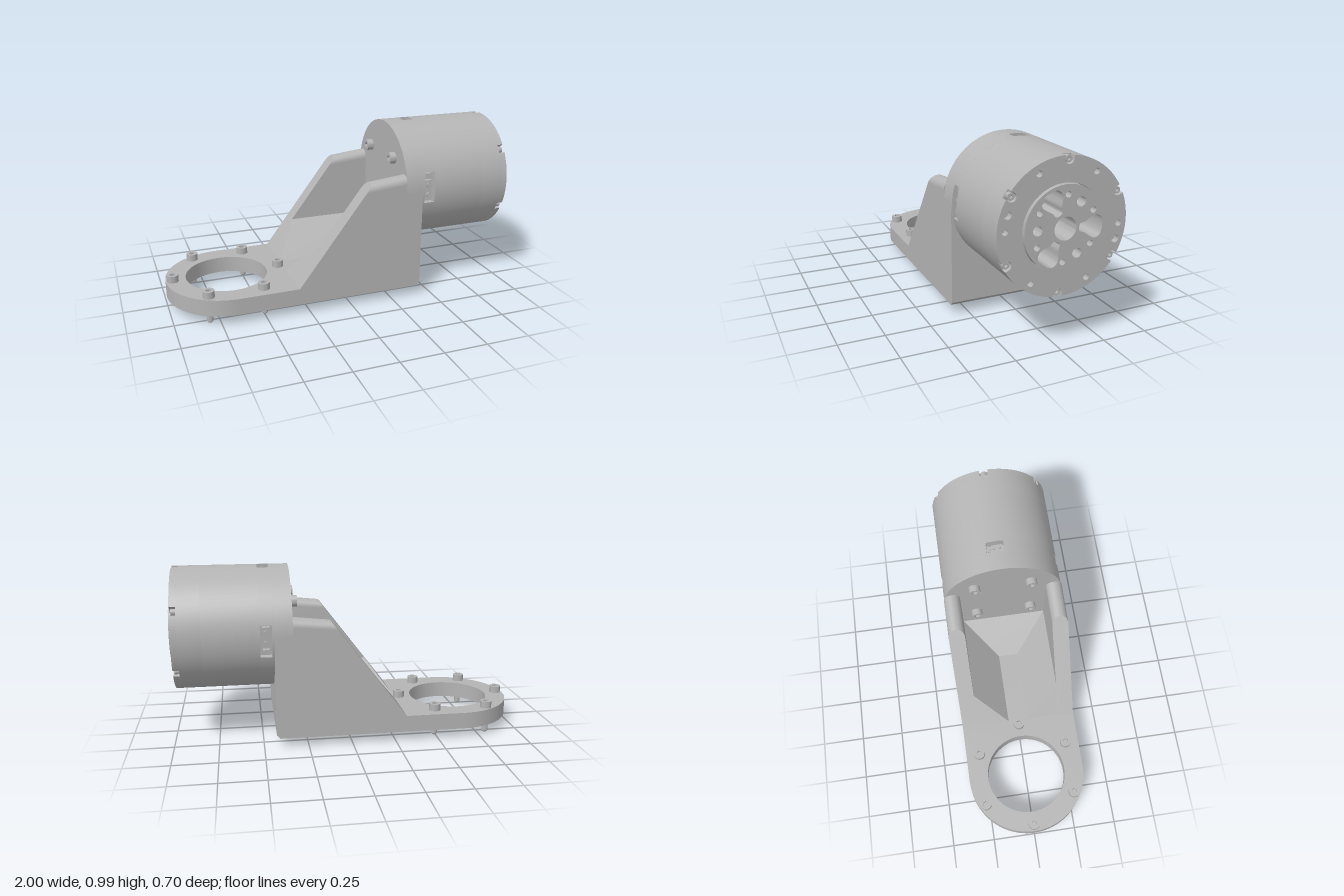
import * as THREE from 'three';
import { toCreasedNormals } from 'three/addons/utils/BufferGeometryUtils.js';

const AXIS_Y = 0.635; // height of the motor axis
const SLOPE = 1.314;  // rise of the cheek incline
const rad = THREE.MathUtils.degToRad;

export function createModel() {
  const model = new THREE.Group();
  const metal = new THREE.MeshStandardMaterial({ color: 0xb4b4b4 });
  metal.name = 'grey metal';

  const add = (parent, name, geometry, x = 0, y = 0, z = 0) => {
    const mesh = new THREE.Mesh(toCreasedNormals(geometry, 0.5), metal);
    mesh.name = name;
    mesh.position.set(x, y, z);
    parent.add(mesh);
    return mesh;
  };
  const group = (parent, name, y = 0) => {
    const g = new THREE.Group();
    g.name = name;
    g.position.y = y;
    parent.add(g);
    return g;
  };
  const polygon = (pts) => new THREE.Shape(pts.map(([x, y]) => new THREE.Vector2(x, y)));
  const circle = (r, x = 0, y = 0) => new THREE.Shape().absarc(x, y, r, 0, Math.PI * 2, false);
  const extrude = (shape, depth, curveSegments = 40) =>
    new THREE.ExtrudeGeometry(shape, { depth, bevelEnabled: false, curveSegments });
  // Shape (u, v) is swept along x, with u = -z and v = y
  const alongX = (shape, x0, x1, segs) =>
    extrude(shape, x1 - x0, segs).rotateY(Math.PI / 2).translate(x0, 0, 0);
  const warp = (geometry, rule) => {
    const p = geometry.attributes.position;
    for (let i = 0; i < p.count; i++) p.setXYZ(i, ...rule(p.getX(i), p.getY(i), p.getZ(i)));
    return geometry;
  };
  const polar = (r, deg) => [r * Math.cos(rad(deg)), r * Math.sin(rad(deg))];

  // Disc outline with slots cut into its rim
  const notchedDisc = (R, notches) => {
    const s = new THREE.Shape();
    notches.forEach(({ deg, w, r, round }, i) => {
      const a = rad(deg), h = Math.asin(w / R), c = Math.cos(a), n = Math.sin(a);
      if (i === 0) s.moveTo(R * Math.cos(a - h), R * Math.sin(a - h));
      s.lineTo(r * c + w * n, r * n - w * c);
      if (round) s.absarc(r * c, r * n, w, a - Math.PI / 2, a + Math.PI / 2, true);
      else s.lineTo(r * c - w * n, r * n + w * c);
      const next = notches[(i + 1) % notches.length];
      const end = rad(next.deg) + (i + 1 === notches.length ? Math.PI * 2 : 0) - Math.asin(next.w / R);
      s.absarc(0, 0, R, a + h, end, false);
    });
    return s;
  };

  // Socket head screw cap pointing along +z
  const headShape = (r) => {
    const s = circle(r);
    s.holes.push(polygon([0, 1, 2, 3, 4, 5].map((k) => polar(r * 0.52, k * 60))));
    return s;
  };
  const addHead = (parent, name, r, h, orient, x, y, z) => {
    add(parent, name, orient(extrude(headShape(r), h, 12)), x, y, z);
    add(parent, name + 'Socket', orient(new THREE.CircleGeometry(r * 0.6, 12).translate(0, 0, h * 0.35)), x, y, z);
  };
  const up = (g) => g.rotateX(-Math.PI / 2);
  const forward = (g) => g.rotateY(Math.PI / 2);
  const backward = (g) => g.rotateY(-Math.PI / 2);

  // ---- Bracket ----
  const bracket = group(model, 'bracket');

  // Mounting ring with its straight tail
  const ring = new THREE.Shape();
  ring.moveTo(-0.31, -0.35);
  ring.lineTo(-0.31, 0.35);
  ring.lineTo(-0.65, 0.35);
  ring.absarc(-0.65, 0, 0.35, Math.PI / 2, Math.PI * 1.5, false);
  ring.holes.push(circle(0.235, -0.65, 0));
  add(bracket, 'mountingRing', up(extrude(ring, 0.095)), 0, 0.055, 0);

  // Floor and back wall, with a sloped gusset between them
  const floor = polygon([[-0.31, 0.055], [0.41, 0.055], [0.43, 0.075], [0.43, AXIS_Y],
    [0.33, AXIS_Y], [0.33, 0.335], [0.13, 0.15], [-0.31, 0.15]]);
  add(bracket, 'floorAndBackWall', extrude(floor, 0.51), 0, 0, -0.255);

  const cheek = polygon([[-0.31, 0.055], [0.41, 0.055], [0.43, 0.075], [0.43, AXIS_Y],
    [0.33, AXIS_Y], [0.33, 0.69], [0.085, 0.668], [-0.31, 0.15]]);
  for (const side of [-1, 1]) {
    add(bracket, 'cheek', extrude(cheek, 0.095), 0, 0, side > 0 ? 0.255 : -0.35);
    // Rounded top edge, cut off along the incline
    const cap = new THREE.Shape().absarc(-side * 0.3025, 0.668, 0.0475, 0, Math.PI, false);
    add(bracket, 'cheekTop', warp(alongX(cap, 0.085, 0.33, 14), (x, y, z) => {
      const t = (x - 0.085) / 0.245;
      return [x + (1 - t) * (y - 0.668) / SLOPE, y + t * 0.022, z];
    }));
    // Sloped fillet between cheek and floor
    const wedge = polygon([[-side * 0.06, 0.15], [-side * 0.255, 0.15], [-side * 0.255, 0.335]]);
    add(bracket, 'cheekFillet', warp(alongX(wedge, -0.31, 0.33), (x, y, z) =>
      [x < 0 ? x + (y - 0.15) / SLOPE : x, y, z]));
  }
  add(bracket, 'flangeDisc', alongX(circle(0.35), 0.33, 0.43), 0, AXIS_Y, 0);

  // ---- Bolts ----
  const bolts = group(model, 'bolts');
  for (let k = 0; k < 6; k++) {
    const [dx, z] = polar(0.31, k * 60);
    addHead(bolts, 'ringBolt', 0.033, 0.04, up, dx - 0.65, 0.15, z);
    const shank = [[0, 0], [0.013, 0], [0.018, 0.006], [0.018, 0.06]].map((p) => new THREE.Vector2(...p));
    add(bolts, 'ringBoltShank', new THREE.LatheGeometry(shank, 16), dx - 0.65, 0, z);
  }
  for (const sy of [-1, 1]) for (const sz of [-1, 1])
    addHead(bolts, 'flangeBolt', 0.033, 0.037, backward, 0.33, AXIS_Y + sy * 0.165, sz * 0.165);

  // ---- Motor ----
  const motor = group(model, 'motor', AXIS_Y);
  add(motor, 'housingRear', alongX(circle(0.35), 0.43, 0.443));

  // Band with connector openings
  const ports = [{ deg: -3.5, w: 0.09 }, { deg: 86.5, w: 0.05 }, { deg: 176.5, w: 0.09 }];
  add(motor, 'connectorBand', alongX(notchedDisc(0.35, ports.map((p) => ({ ...p, r: 0.295 }))), 0.443, 0.507));
  for (const { deg, w } of ports) {
    const port = group(motor, 'connector');
    port.rotation.x = rad(deg - 90); // local +y points outwards
    add(port, 'plug', new THREE.BoxGeometry(0.044, 0.03, w * 1.25), 0.475, 0.31, w * 0.2);
    add(port, 'latch', new THREE.BoxGeometry(0.036, 0.035, w * 0.3), 0.475, 0.31, -w * 0.73);
    for (const s of [-0.15, 0.5])
      add(port, 'pin', new THREE.CylinderGeometry(w * 0.15, w * 0.15, 0.012, 12), 0.475, 0.329, w * s);
  }
  add(motor, 'housing', alongX(circle(0.35), 0.507, 0.82));
  const sleeve = circle(0.35);
  sleeve.holes.push(circle(0.22));
  add(motor, 'housingSleeve', alongX(sleeve, 0.82, 0.945));

  // Front ring with screw slots and holes
  const six = [0, 1, 2, 3, 4, 5].map((k) => k * 60);
  const face = notchedDisc(0.35, six.map((d) => ({ deg: d + 26.5, w: 0.024, r: 0.33, round: true })));
  face.holes.push(circle(0.22));
  for (const d of six) face.holes.push(circle(0.016, ...polar(0.308, d + 56.5)));
  for (const d of [161.5, 341.5]) face.holes.push(circle(0.02, ...polar(0.31, d)));
  add(motor, 'frontRing', alongX(face, 0.945, 0.98, 24));
  for (const d of six) {
    const [u, v] = polar(0.33, d + 26.5);
    addHead(motor, 'frontScrew', 0.018, 0.026, forward, 0.945, v, -u);
  }

  // Output hub with bore, pockets and holes
  const hub = circle(0.217);
  hub.holes.push(circle(0.059));
  const half = [[0.078, 0.018], [0.105, 0.027], [0.138, 0.05], [0.165, 0.058], [0.193, 0.045]];
  const outline = [...half, [0.203, 0], ...half.map(([x, y]) => [x, -y]).reverse()];
  const pocket = new THREE.CatmullRomCurve3(outline.map(([x, y]) => new THREE.Vector3(x, y, 0)), true)
    .getPoints(44).slice(0, -1);
  for (const d of [-3, 117, 237]) {
    hub.holes.push(polygon(pocket.map((p) => {
      const q = p.clone().applyAxisAngle(new THREE.Vector3(0, 0, 1), rad(d));
      return [q.x, q.y];
    })));
    hub.holes.push(circle(0.025, ...polar(0.148, d + 60)));
  }
  for (const d of six) hub.holes.push(circle(0.016, ...polar(0.167, d + 26.5)));
  add(motor, 'outputHub', alongX(hub, 0.82, 0.997, 24));

  return model;
}
